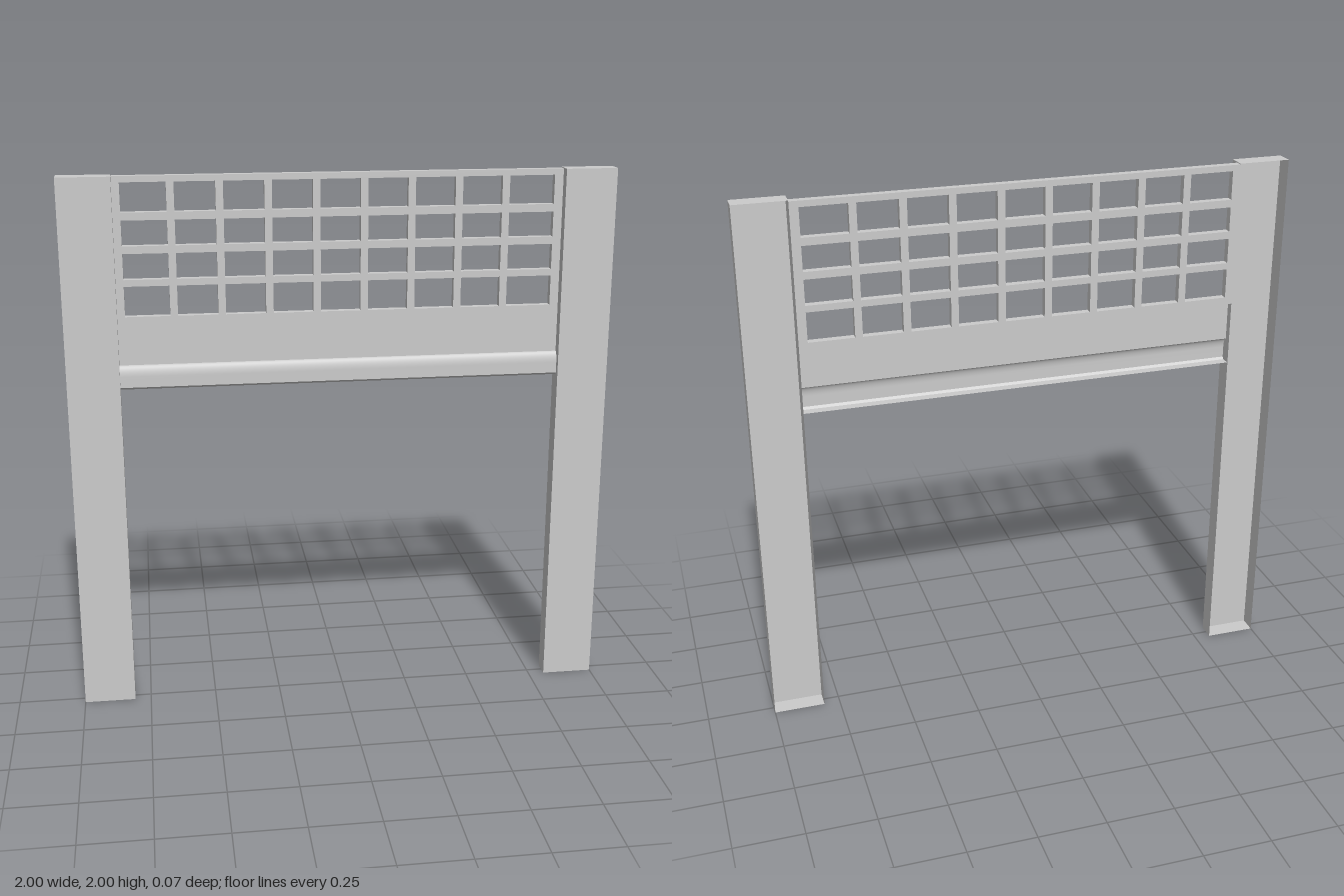
import * as THREE from 'three';

const BACK = -0.033, FRONT = 0.033, FACE = -0.005;
const INNER = 0.81; // inner edge of the posts

export function createModel() {
  const group = new THREE.Group();
  const mat = new THREE.MeshStandardMaterial({ color: 0xcccccc, side: THREE.DoubleSide });
  const add = (name, geometry) => {
    const mesh = new THREE.Mesh(geometry, mat);
    mesh.name = name;
    group.add(mesh);
    return mesh;
  };

  // Posts: thin casings, open at the back
  for (const side of [-1, 1]) {
    const casing = new THREE.BoxGeometry(1 - INNER, 2, FRONT - BACK);
    casing.setIndex(Array.from(casing.index.array).slice(0, 30)); // drop the back face
    casing.clearGroups();
    add(side > 0 ? 'leftPost' : 'rightPost', casing)
      .position.set(side * (1 + INNER) / 2, 1, 0);
  }

  // Lattice: one framed panel with a 9 x 4 grid of openings
  const rect = (Path, x0, x1, y0, y1) => {
    const p = new Path();
    p.moveTo(x0, y0);
    p.lineTo(x1, y0);
    p.lineTo(x1, y1);
    p.lineTo(x0, y1);
    p.closePath();
    return p;
  };
  const panel = rect(THREE.Shape, -INNER, INNER, 1.47, 1.997);
  const half = 0.0135; // half width of an upright bar
  const rows = [[1.497, 1.607], [1.631, 1.724], [1.751, 1.842], [1.87, 1.975]];
  for (let c = 0; c < 9; c++) {
    const barX = i => -0.004 + (i - 3.5) * 0.1723;
    const x0 = c === 0 ? -0.782 : barX(c - 1) + half;
    const x1 = c === 8 ? 0.778 : barX(c) - half;
    for (const [y0, y1] of rows) panel.holes.push(rect(THREE.Path, x0, x1, y0, y1));
  }
  add('lattice', new THREE.ExtrudeGeometry(panel, { depth: FACE - BACK, bevelEnabled: false }))
    .position.z = BACK;

  // Sheet parts: a [z, y] profile, listed from the top, drawn out between the posts
  const sheet = (name, profile) => {
    const g = new THREE.PlaneGeometry(2 * INNER, 1, 1, profile.length - 1);
    const pos = g.attributes.position;
    for (let i = 0; i < pos.count; i++) {
      const [z, y] = profile[Math.floor(i / 2)];
      pos.setY(i, y);
      pos.setZ(i, z);
    }
    g.computeVertexNormals();
    add(name, g);
  };
  sheet('rail', [[FACE, 1.47], [FACE, 1.32]]);

  // Moulding under the rail: rounded shoulder, then a lip turned to the back
  const shoulder = [];
  for (let i = 0; i <= 10; i++) {
    const a = i / 10 * Math.PI / 2;
    shoulder.push([FACE + 0.017 * Math.sin(a), 1.28 + 0.04 * Math.cos(a)]);
  }
  sheet('moulding', [...shoulder, [0.012, 1.24]]);
  sheet('mouldingEdge', [[0.012, 1.24], [0.004, 1.232]]);
  sheet('mouldingLip', [[0.004, 1.232], [-0.03, 1.232]]);

  return group;
}
